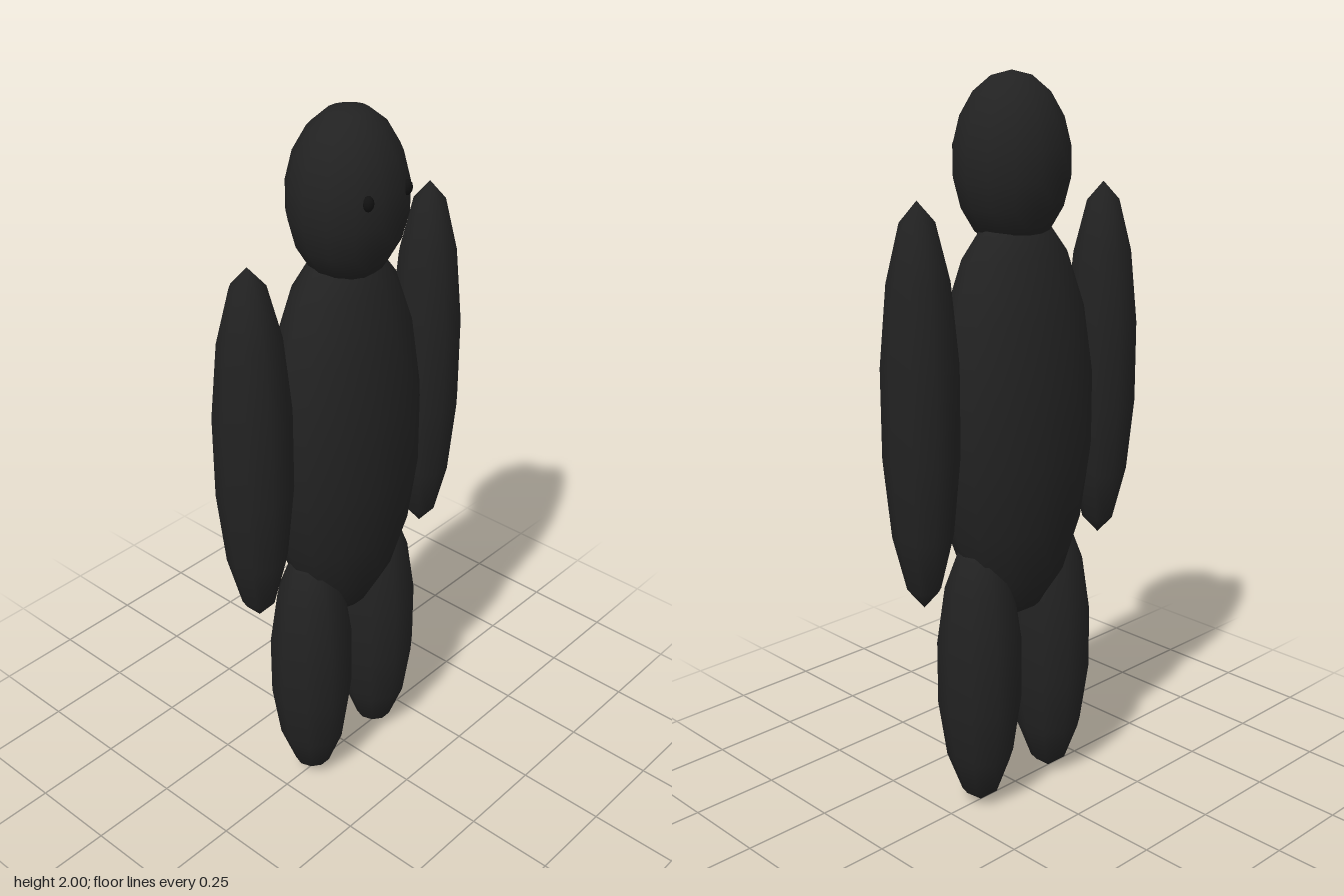
import * as THREE from 'three';

export function createModel() {
  const model = new THREE.Group();
  model.name = 'figure';

  const charcoal = new THREE.MeshStandardMaterial({ color: 0x222222 });
  charcoal.name = 'charcoal';
  const black = new THREE.MeshStandardMaterial({ color: 0x111111 });
  black.name = 'black';

  // Smooth, coarsely divided ellipsoid given by its centre and radii
  function ellipsoid(name, material, [x, y, z], [rx, ry, rz], sides, rings) {
    const geometry = new THREE.SphereGeometry(1, sides, rings).scale(rx, ry, rz);
    const mesh = new THREE.Mesh(geometry, material);
    mesh.name = name;
    mesh.position.set(x, y, z);
    model.add(mesh);
  }

  // Trunk and head
  ellipsoid('torso', charcoal, [0, 1.1, 0], [0.25, 0.57, 0.17], 14, 9);
  ellipsoid('head', charcoal, [0, 1.775, 0.012], [0.162, 0.225, 0.148], 14, 9);

  // Arms: the left one hangs slightly longer than the right
  ellipsoid('leftArm', charcoal, [0.332, 1.18, 0], [0.102, 0.53, 0.102], 10, 7);
  ellipsoid('rightArm', charcoal, [-0.335, 1.19, 0], [0.103, 0.505, 0.103], 10, 7);

  // Paired legs and eyes
  for (const [side, s] of [['left', 1], ['right', -1]]) {
    ellipsoid(side + 'Leg', charcoal, [s * 0.137, 0.403, 0], [0.119, 0.403, 0.119], 10, 7);
    ellipsoid(side + 'Eye', black, [s * 0.07, 1.807, 0.139], [0.015, 0.02, 0.014], 8, 6);
  }

  return model;
}
